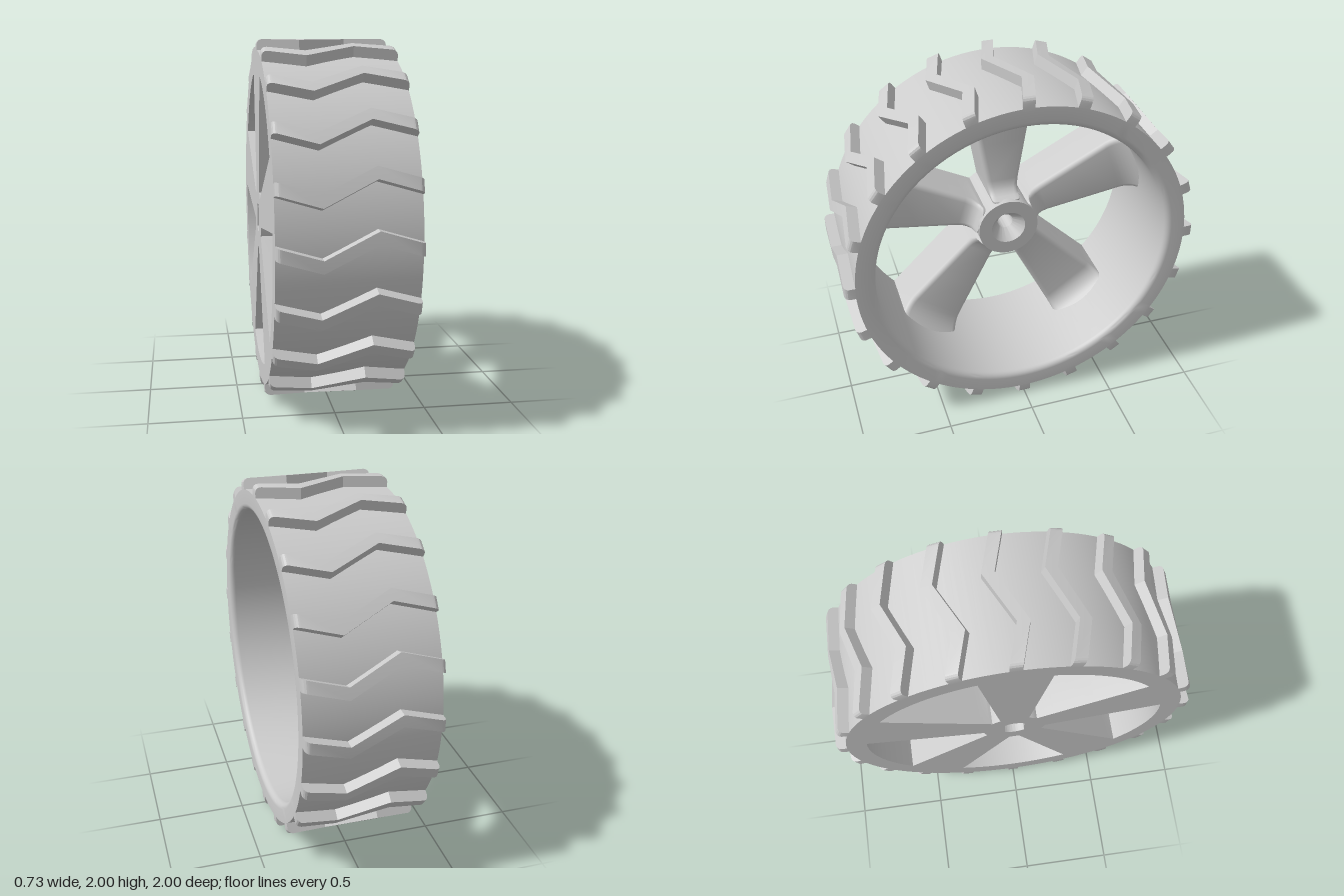
import * as THREE from 'three';
import { toCreasedNormals } from 'three/addons/utils/BufferGeometryUtils.js';

const HALF = 0.3625; // half the wheel width
const mat = new THREE.MeshStandardMaterial({ color: 0xcccccc });

function add(parent, name, geometry) {
  const mesh = new THREE.Mesh(geometry, mat);
  mesh.name = name;
  parent.add(mesh);
  return mesh;
}

// Skins closed rings of [x, y, z] points and caps both ends
function loft(rings, crease) {
  const n = rings[0].length;
  const index = [];
  for (let i = 0; i < rings.length - 1; i++) {
    for (let j = 0; j < n; j++) {
      const a = i * n + j, b = i * n + (j + 1) % n;
      index.push(a, b, b + n, a, b + n, a + n);
    }
  }
  const last = (rings.length - 1) * n;
  for (let j = 1; j < n - 1; j++) {
    index.push(0, j + 1, j, last, last + j, last + j + 1);
  }
  const geo = new THREE.BufferGeometry();
  geo.setAttribute('position', new THREE.Float32BufferAttribute(rings.flat(2), 3));
  geo.setIndex(index);
  return toCreasedNormals(geo, crease);
}

// Turns a profile of [radius, x] around the axle
function turned(profile, segments) {
  const geo = new THREE.LatheGeometry(profile.map(([r, x]) => new THREE.Vector2(r, x)), segments);
  geo.rotateZ(-Math.PI / 2);
  return toCreasedNormals(geo, 0.55);
}

function rimGeometry() {
  const inner = 0.828, f = 0.035;
  const profile = [[inner, -HALF], [0.94, -HALF], [0.94, HALF]];
  for (let i = 0; i <= 6; i++) { // rounded inner lip on the open side
    const a = (i / 6) * Math.PI / 2;
    profile.push([inner + f - f * Math.sin(a), HALF - f + f * Math.cos(a)]);
  }
  profile.push([inner, -HALF]);
  return turned(profile, 120);
}

// One zigzag tread bar, at the front of the wheel
function treadGeometry() {
  const f = 0.03;
  const stations = [];
  for (let i = 0; i <= 4; i++) {
    const a = (i / 4) * Math.PI / 2;
    stations.push([-HALF + f - f * Math.cos(a), 1 - f + f * Math.sin(a)]);
  }
  stations.push([-0.135, 1]);
  const mirrored = stations.map(([x, h]) => [-x, h]).reverse();
  const zigzag = (x) => {
    if (Math.abs(x) <= 0.135) return 0.5 * x;
    return Math.sign(x) * 0.0675 * (HALF - Math.abs(x)) / (HALF - 0.135);
  };
  const rings = [...stations, ...mirrored].map(([x, h]) => {
    const lo = zigzag(x) - 0.033, hi = zigzag(x) + 0.033;
    const top = (y) => Math.sqrt(h * h - y * y);
    return [[x, lo, 0.925], [x, hi, 0.925], [x, hi, top(hi)], [x, lo, top(lo)]];
  });
  return loft(rings, 0.3);
}

// One upright spoke: flat back, rounded edges, sweeping up to hub and rim
function spokeGeometry() {
  const face = -0.08, bevel = 0.03;
  const fillet = (d, R) => {
    const k = Math.min(Math.max(d, 0), R);
    return R - Math.sqrt(R * R - k * k);
  };
  const radii = [0.13, 0.17, 0.18, 0.19, 0.205, 0.225, 0.26, 0.5, 0.71,
    0.735, 0.76, 0.78, 0.795, 0.808, 0.818, 0.825, 0.84];
  const rings = radii.map((r) => {
    const w = 0.08 + (r - 0.16) / 6;
    const t = face + fillet(0.26 - r, 0.09) + fillet(r - 0.71, 0.12);
    const half = [[-HALF, r, w]];
    for (let i = 0; i <= 4; i++) {
      const a = (i / 4) * Math.PI / 2;
      half.push([t - bevel + bevel * Math.sin(a), r, w - bevel + bevel * Math.cos(a)]);
    }
    return [...half, ...half.map(([x, y, z]) => [x, y, -z]).reverse()];
  });
  return loft(rings, 0.6);
}

// Back of the hub with a double-flat axle socket
function socketGeometry(depth) {
  const shape = new THREE.Shape();
  shape.absarc(0, 0, 0.175, 0, Math.PI * 2);
  const a = Math.acos(0.055 / 0.08);
  const hole = new THREE.Path();
  hole.absarc(0, 0, 0.08, a, Math.PI - a);
  hole.absarc(0, 0, 0.08, Math.PI + a, Math.PI * 2 - a);
  hole.closePath();
  shape.holes.push(hole);
  const geo = new THREE.ExtrudeGeometry(shape, { depth, bevelEnabled: false, curveSegments: 24 });
  geo.rotateY(Math.PI / 2);
  geo.translate(-HALF, 0, 0);
  return toCreasedNormals(geo, 0.5);
}

export function createModel() {
  const model = new THREE.Group();
  model.name = 'wheel';
  const wheel = new THREE.Group();
  wheel.name = 'wheelBody';
  wheel.position.y = 1;
  model.add(wheel);

  add(wheel, 'rim', rimGeometry());

  // Hub with a countersunk screw hole on the open side
  const socketDepth = 0.16, floor = -HALF + socketDepth, top = 0.03;
  add(wheel, 'hubSocket', socketGeometry(socketDepth));
  add(wheel, 'hub', turned([
    [0.045, floor], [0.175, floor], [0.175, top], [0.1, top],
    [0.045, top - 0.07], [0.045, floor],
  ], 48));

  const spoke = spokeGeometry();
  for (let i = 0; i < 5; i++) {
    add(wheel, 'spoke', spoke).rotation.x = (i / 5) * Math.PI * 2;
  }

  const tread = treadGeometry();
  for (let i = 0; i < 20; i++) {
    add(wheel, 'treadBar', tread).rotation.x = (i / 20) * Math.PI * 2;
  }
  return model;
}
